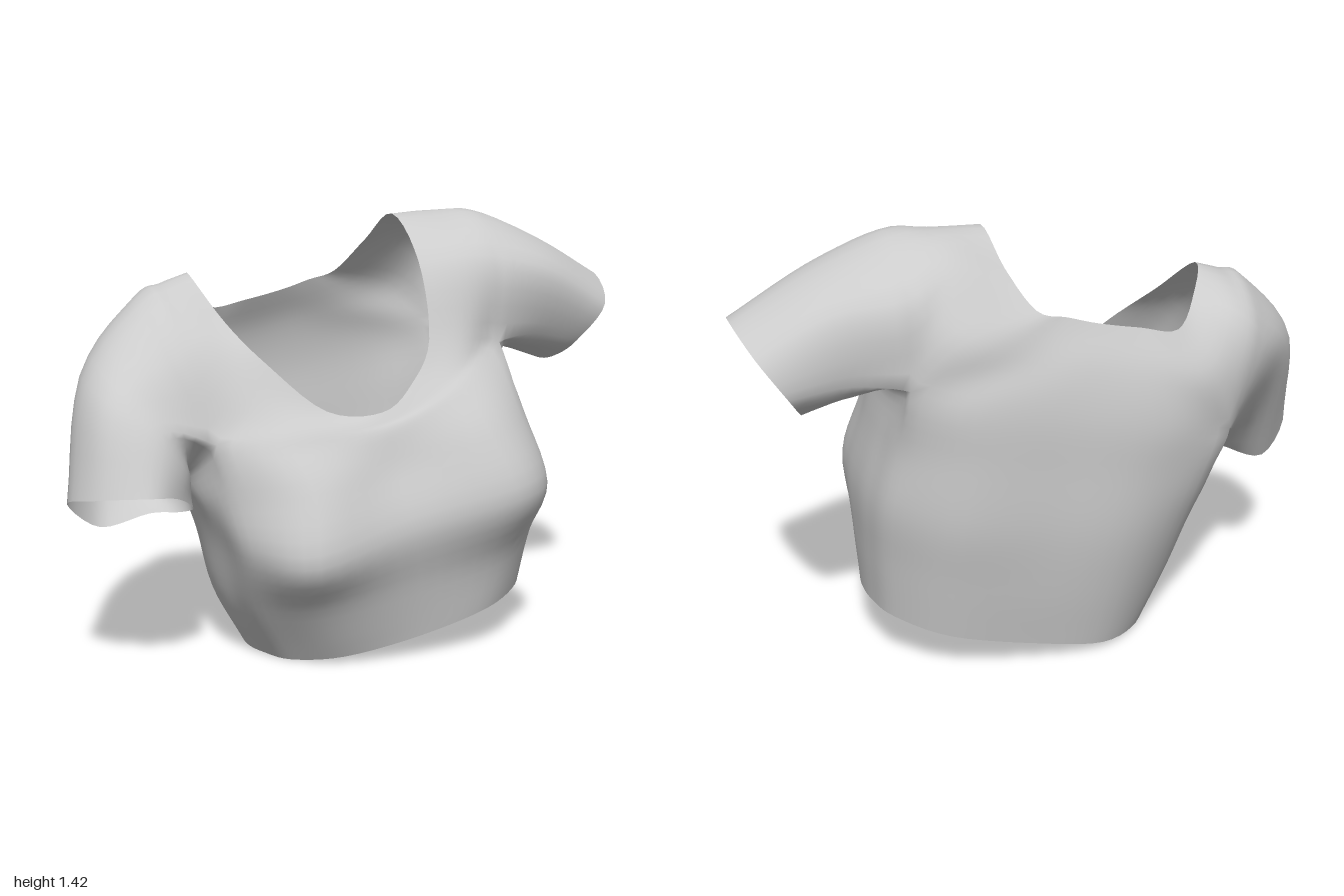
import * as THREE from 'three';
import { mergeVertices } from 'three/addons/utils/BufferGeometryUtils.js';

const S = 5; // samples between neighbouring control points
const CORNERS = [2, 6, 10, 14]; // where body, yoke and sleeves meet

// Uniform Catmull-Rom between b and c
function blend(a, b, c, d, t) {
  const f = (k) => 0.5 * (2 * b[k] + (c[k] - a[k]) * t
    + (2 * a[k] - 5 * b[k] + 4 * c[k] - d[k]) * t * t
    + (3 * b[k] - a[k] - 3 * c[k] + d[k]) * t * t * t);
  return new THREE.Vector3(f('x'), f('y'), f('z'));
}
const beyond = (p, q) => p.clone().multiplyScalar(2).sub(q);

// Smooth closed loop; at a corner the curve starts afresh
function loop(rows, corners = []) {
  const p = rows.map((r) => new THREE.Vector3(...r)), n = p.length, out = [];
  for (let i = 0; i < n; i++) {
    const j = (i + 1) % n;
    const a = corners.includes(i) ? beyond(p[i], p[j]) : p[(i + n - 1) % n];
    const d = corners.includes(j) ? beyond(p[j], p[i]) : p[(i + 2) % n];
    for (let s = 0; s < S; s++) out.push(blend(a, p[i], p[j], d, s / S));
  }
  return out;
}

// Evens out a guide loop that is pieced together from several others
function soften(ring) {
  let out = ring;
  for (let pass = 0; pass < 4; pass++) {
    const prev = out, n = prev.length;
    out = prev.map((p, i) => p.clone().multiplyScalar(2)
      .add(prev[(i + 1) % n]).add(prev[(i + n - 1) % n]).multiplyScalar(0.25));
  }
  return out;
}

// Smooth skin through loops as loose triangles; before and after only steer the ends
function skin(loops, { before, after, flip = false }) {
  const steps = 5, rows = [], n = loops[0].length, last = loops.length - 1, tris = [];
  for (let r = 0; r < last; r++) {
    const prev = r > 0 ? loops[r - 1] : before, next = r + 2 <= last ? loops[r + 2] : after;
    for (let s = 0; s < steps; s++) {
      rows.push(loops[r].map((b, i) => {
        const c = loops[r + 1][i];
        return blend(prev ? prev[i] : beyond(b, c), b, c, next ? next[i] : beyond(c, b), s / steps);
      }));
    }
  }
  rows.push(loops[last]);
  for (let r = 0; r < rows.length - 1; r++) {
    for (let i = 0; i < n; i++) {
      const j = (i + 1) % n;
      const [a, b, c, d] = [rows[r][i], rows[r][j], rows[r + 1][j], rows[r + 1][i]];
      tris.push(...(flip ? [a, c, b, a, d, c] : [a, b, c, a, c, d]));
    }
  }
  return tris;
}

// Loops run from front centre over the left side, the back and the right side
const hem = [[.1, .08, .34], [.35, .14, .325], [.52, .17, .2], [.58, .18, .07],
  [.6, .19, -.04], [.59, .19, -.16], [.54, .18, -.28], [.38, .14, -.39],
  [.1, .08, -.41], [-.14, .03, -.38], [-.3, .015, -.26], [-.36, .01, -.12],
  [-.38, .01, 0], [-.36, .01, .1], [-.3, .01, .21], [-.15, .03, .305]];
const underBust = [[.08, .27, .385], [.38, .33, .365], [.55, .37, .24], [.6, .38, .08],
  [.61, .38, -.04], [.6, .38, -.18], [.55, .38, -.31], [.38, .34, -.43],
  [.1, .28, -.45], [-.18, .24, -.42], [-.38, .21, -.28], [-.46, .2, -.13],
  [-.48, .2, 0], [-.46, .2, .12], [-.41, .2, .26], [-.25, .22, .39]];
const bust = [[.03, .46, .435], [.39, .53, .46], [.57, .55, .32], [.605, .57, .12],
  [.61, .58, -.04], [.6, .58, -.2], [.55, .58, -.35], [.36, .54, -.475],
  [.06, .49, -.48], [-.22, .44, -.45], [-.44, .4, -.32], [-.51, .4, -.14],
  [-.53, .4, 0], [-.51, .4, .16], [-.47, .39, .34], [-.31, .385, .495]];
const chest = [[0, .65, .37], [.32, .73, .4], [.51, .77, .26], [.55, .79, .08],
  [.56, .8, -.06], [.55, .8, -.22], [.51, .79, -.38], [.33, .76, -.49],
  [.02, .7, -.485], [-.27, .64, -.46], [-.49, .56, -.36], [-.56, .54, -.16],
  [-.57, .53, 0], [-.56, .53, .14], [-.5, .57, .29], [-.3, .6, .43]];
const underarm = [[-.02, .76, .34], [.27, .87, .305], [.48, 1, .13], [.53, .96, .05],
  [.54, .95, -.08], [.53, .96, -.25], [.5, 1, -.42], [.31, .95, -.495],
  [0, .88, -.485], [-.32, .81, -.465], [-.56, .75, -.385], [-.6, .65, -.2],
  [-.62, .61, -.05], [-.61, .63, .09], [-.55, .74, .23], [-.34, .73, .34]];
// Same loop, but running over the tops of the armholes
const overarm = underarm.map((p) => p.slice());
[[.5, 1.28, .11], [.51, 1.425, -.14], [.5, 1.28, -.4]].forEach((p, i) => { overarm[3 + i] = p; });
[[-.68, 1.04, -.345], [-.7, 1.175, -.1], [-.67, 1, .14]].forEach((p, i) => { overarm[11 + i] = p; });
const shoulder = [[-.02, .79, .32], [.18, .88, .285], [.33, 1.02, .195], [.35, 1.29, .11],
  [.36, 1.425, -.14], [.35, 1.355, -.335], [.35, 1.15, -.465], [.15, 1.07, -.46],
  [-.05, 1.03, -.455], [-.28, .98, -.445], [-.48, .95, -.43], [-.58, 1.13, -.35],
  [-.61, 1.21, -.12], [-.57, 1.06, .1], [-.46, .86, .21], [-.28, .79, .31]];
const neckline = [[-.02, .82, .3], [.1, .9, .26], [.19, 1.03, .195], [.2, 1.27, .09],
  [.2, 1.42, -.13], [.17, 1.32, -.3], [.1, 1.21, -.4], [0, 1.18, -.4],
  [-.1, 1.15, -.395], [-.24, 1.12, -.385], [-.37, 1.1, -.38], [-.46, 1.18, -.28],
  [-.52, 1.24, -.14], [-.46, 1.1, .05], [-.37, .98, .18], [-.2, .83, .27]];

// Sleeve loops run over the top of the arm, then back underneath
const leftArm = [[.66, 1.01, .06], [.7, 1.23, .095], [.75, 1.33, -.14], [.72, 1.24, -.365],
  [.67, 1.02, -.38], [.65, .95, -.27], [.65, .94, -.14], [.65, .95, -.03]];
const leftCuff = [[.85, .97, .01], [.95, 1.1, .03], [1, 1.2, -.17], [.95, 1.13, -.36],
  [.86, 1, -.39], [.81, .91, -.28], [.8, .89, -.17], [.81, .91, -.07]];
const rightArm = [[-.68, .64, -.14], [-.83, .88, -.2], [-.915, .94, -.02], [-.88, .89, .19],
  [-.74, .8, .28], [-.65, .68, .25], [-.62, .6, .13], [-.64, .6, -.01]];
const rightCuff = [[-.72, .5, .05], [-.87, .46, .01], [-1, .57, .12], [-.95, .61, .28],
  [-.81, .62, .36], [-.7, .6, .31], [-.62, .54, .2], [-.64, .51, .11]];

// Armhole: over the top along one loop, back along the other
const armhole = (top, bottom, from) => [
  ...top.slice(from * S, (from + 4) * S),
  ...bottom.slice(from * S + 1, (from + 4) * S + 1).reverse(),
];

export function createModel() {
  const under = loop(underarm, CORNERS), over = loop(overarm, CORNERS);
  const chestLoop = loop(chest), shoulderLoop = loop(shoulder);

  // Guides that carry the cloth on across the armpit and shoulder seams
  const aboveBodice = shoulderLoop.slice(), belowYoke = chestLoop.slice();
  const sleeve = (from, arm, cuff) => {
    const mid = loop(arm);
    for (let k = 1; k < 4 * S; k++) {
      belowYoke[from * S + k] = mid[k];
      aboveBodice[from * S + k] = mid[8 * S - k];
    }
    const before = soften(armhole(shoulderLoop, chestLoop, from));
    return skin([armhole(over, under, from), mid, loop(cuff)], { before, flip: true });
  };
  const leftSleeve = sleeve(2, leftArm, leftCuff);
  const rightSleeve = sleeve(10, rightArm, rightCuff);
  const parts = {
    bodice: skin([loop(hem), loop(underBust), loop(bust), chestLoop, under], { after: soften(aboveBodice) }),
    yoke: skin([over, shoulderLoop, loop(neckline)], { before: soften(belowYoke) }),
    leftSleeve,
    rightSleeve,
  };

  // Weld everything first so shading runs smoothly over the seams
  let cloth = new THREE.BufferGeometry().setFromPoints(Object.values(parts).flat());
  cloth = mergeVertices(cloth, 1e-4);
  cloth.computeVertexNormals();

  const material = new THREE.MeshStandardMaterial({ color: 0xcccccc, side: THREE.DoubleSide });
  const group = new THREE.Group();
  group.name = 'blouse';
  let start = 0;
  for (const [name, tris] of Object.entries(parts)) {
    const geometry = new THREE.BufferGeometry();
    geometry.setAttribute('position', cloth.getAttribute('position'));
    geometry.setAttribute('normal', cloth.getAttribute('normal'));
    geometry.setIndex(Array.from(cloth.index.array.slice(start, start + tris.length)));
    start += tris.length;
    const mesh = new THREE.Mesh(geometry, material);
    mesh.name = name;
    group.add(mesh);
  }
  return group;
}
